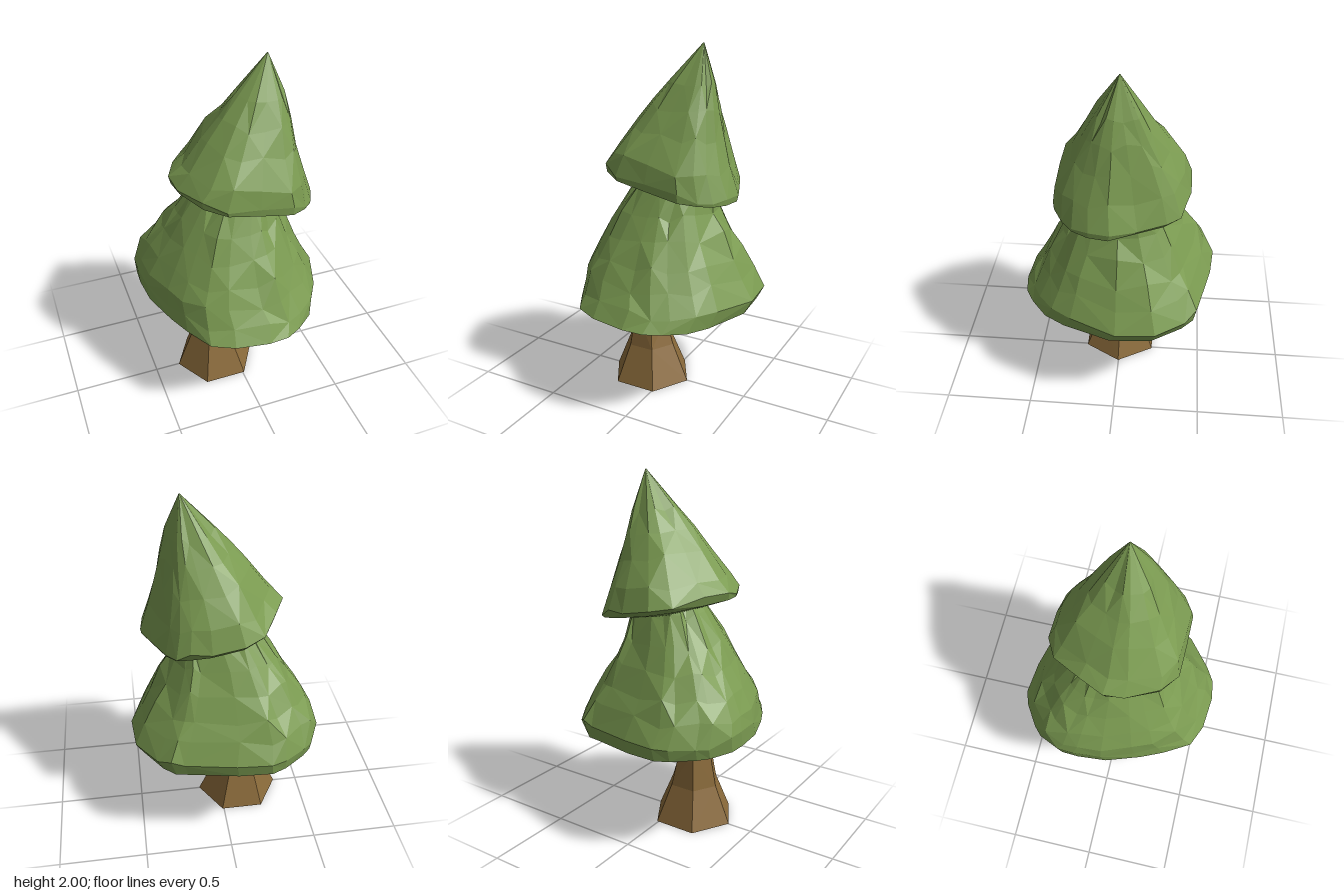
import * as THREE from 'three';

// Plan outlines as [x, z], running from the back round by the left side.
const skirtOutline = [
  [-0.21, -0.56], [-0.02, -0.54], [0.26, -0.47], [0.33, -0.455], [0.4, -0.39], [0.51, -0.22],
  [0.525, 0.01], [0.43, 0.28], [0.36, 0.4], [0.25, 0.49], [0.16, 0.54], [0.04, 0.555],
  [-0.16, 0.535], [-0.29, 0.48], [-0.38, 0.33], [-0.44, 0.2], [-0.51, 0], [-0.525, -0.17],
  [-0.52, -0.27], [-0.46, -0.4], [-0.41, -0.45], [-0.29, -0.53],
];
const crownOutline = [
  [-0.19, -0.33], [-0.08, -0.39], [0.09, -0.39], [0.2, -0.365], [0.27, -0.34], [0.32, -0.27],
  [0.38, -0.12], [0.435, 0.02], [0.42, 0.13], [0.38, 0.22], [0.32, 0.28], [0.23, 0.335],
  [0.04, 0.335], [-0.14, 0.33], [-0.25, 0.25], [-0.33, 0.08], [-0.345, -0.03], [-0.28, -0.17],
];
const hexagon = Array.from({ length: 6 }, (_, i) => [
  Math.cos(i * Math.PI / 3), Math.sin(i * Math.PI / 3),
]);

// Repeatable value in -1..1 for the hand-hewn facets
const noise = (i, j) => {
  const s = Math.sin(i * 127.1 + j * 311.7) * 43758.5453;
  return 2 * (s - Math.floor(s)) - 1;
};

// Scales an outline to fill -1..1 in both directions
function normalize(outline) {
  const range = (k) => {
    const v = outline.map((p) => p[k]);
    return [Math.min(...v), Math.max(...v)];
  };
  const [x0, x1] = range(0), [z0, z1] = range(1);
  return outline.map(([x, z]) => [2 * (x - x0) / (x1 - x0) - 1, 2 * (z - z0) / (z1 - z0) - 1]);
}

// Closed loft through tilted rings: [y at -x end, y at +x end, xMin, xMax, zMin, zMax]
function loft(outline, rings, rough = 0) {
  const unit = normalize(outline);
  const n = unit.length;
  const pos = [];
  const index = [];
  rings.forEach(([yl, yr, x0, x1, z0, z1], i) => {
    // the rim keeps its outline, the slopes above it are uneven
    const last = i === rings.length - 1;
    const spread = i > 2 && !last ? rough : 0;
    const wave = i > 1 && !last ? rough : 0;
    unit.forEach(([u, v], j) => {
      const k = 1 + spread * noise(i, j);
      pos.push(
        (x0 + x1) / 2 + u * k * (x1 - x0) / 2,
        yl + (yr - yl) * (u + 1) / 2 + wave * noise(i + 20, j),
        (z0 + z1) / 2 + v * k * (z1 - z0) / 2,
      );
    });
  });
  for (let i = 0; i < rings.length - 1; i++) {
    for (let j = 0; j < n; j++) {
      const a = i * n + j, b = i * n + (j + 1) % n, c = a + n, d = b + n;
      if ((i + j) % 2) index.push(a, c, b, b, c, d);
      else index.push(a, c, d, a, d, b);
    }
  }
  // end caps
  [0, rings.length - 1].forEach((i) => {
    const [yl, yr, x0, x1, z0, z1] = rings[i];
    const centre = pos.length / 3;
    pos.push((x0 + x1) / 2, (yl + yr) / 2, (z0 + z1) / 2);
    for (let j = 0; j < n; j++) {
      const a = i * n + j, b = i * n + (j + 1) % n;
      if (i === 0) index.push(centre, a, b);
      else index.push(centre, b, a);
    }
  });
  const g = new THREE.BufferGeometry();
  g.setAttribute('position', new THREE.Float32BufferAttribute(pos, 3));
  g.setIndex(index);
  const flat = g.toNonIndexed();
  flat.computeVertexNormals();
  return flat;
}

export function createModel() {
  const group = new THREE.Group();
  group.name = 'tree';
  const bark = new THREE.MeshStandardMaterial({ color: 0x8a6a3a, flatShading: true });
  const needles = new THREE.MeshStandardMaterial({ color: 0x7b9b51, flatShading: true });
  const add = (name, geometry, material) => {
    const mesh = new THREE.Mesh(geometry, material);
    mesh.name = name;
    group.add(mesh);
  };

  // bent six-sided trunk
  add('trunk', loft(hexagon, [
    [0, 0, -0.355, 0.13, -0.205, 0.21],
    [0.22, 0.22, -0.265, 0.03, -0.13, 0.125],
    [0.46, 0.38, -0.22, -0.02, -0.1, 0.088],
    [0.63, 0.62, -0.15, 0.01, -0.08, 0.07],
  ]), bark);

  // wide lower tier with a slightly hollow underside
  add('lowerFoliage', loft(skirtOutline, [
    [0.595, 0.565, -0.3, 0.3, -0.32, 0.32],
    [0.6, 0.54, -0.52, 0.49, -0.545, 0.558],
    [0.67, 0.63, -0.525, 0.525, -0.555, 0.505],
    [0.77, 0.74, -0.51, 0.465, -0.49, 0.445],
    [0.86, 0.85, -0.45, 0.405, -0.435, 0.395],
    [0.98, 0.98, -0.37, 0.335, -0.365, 0.325],
    [1.1, 1.1, -0.29, 0.28, -0.295, 0.265],
    [1.25, 1.23, -0.19, 0.26, -0.22, 0.19],
    [1.37, 1.32, -0.1, 0.2, -0.15, 0.13],
  ], 0.022), needles);

  // leaning upper tier with a bulged underside and its tip off to the left
  add('upperFoliage', loft(crownOutline, [
    [1.278, 1.195, -0.17, 0.29, -0.24, 0.22],
    [1.34, 1.19, -0.335, 0.43, -0.365, 0.332],
    [1.37, 1.225, -0.345, 0.435, -0.39, 0.335],
    [1.45, 1.36, -0.275, 0.385, -0.345, 0.318],
    [1.58, 1.52, -0.165, 0.34, -0.265, 0.24],
    [1.69, 1.66, -0.07, 0.31, -0.19, 0.175],
    [1.8, 1.79, 0.027, 0.28, -0.125, 0.11],
    [2, 2, 0.197, 0.203, -0.018, -0.012],
  ], 0.02), needles);

  return group;
}
